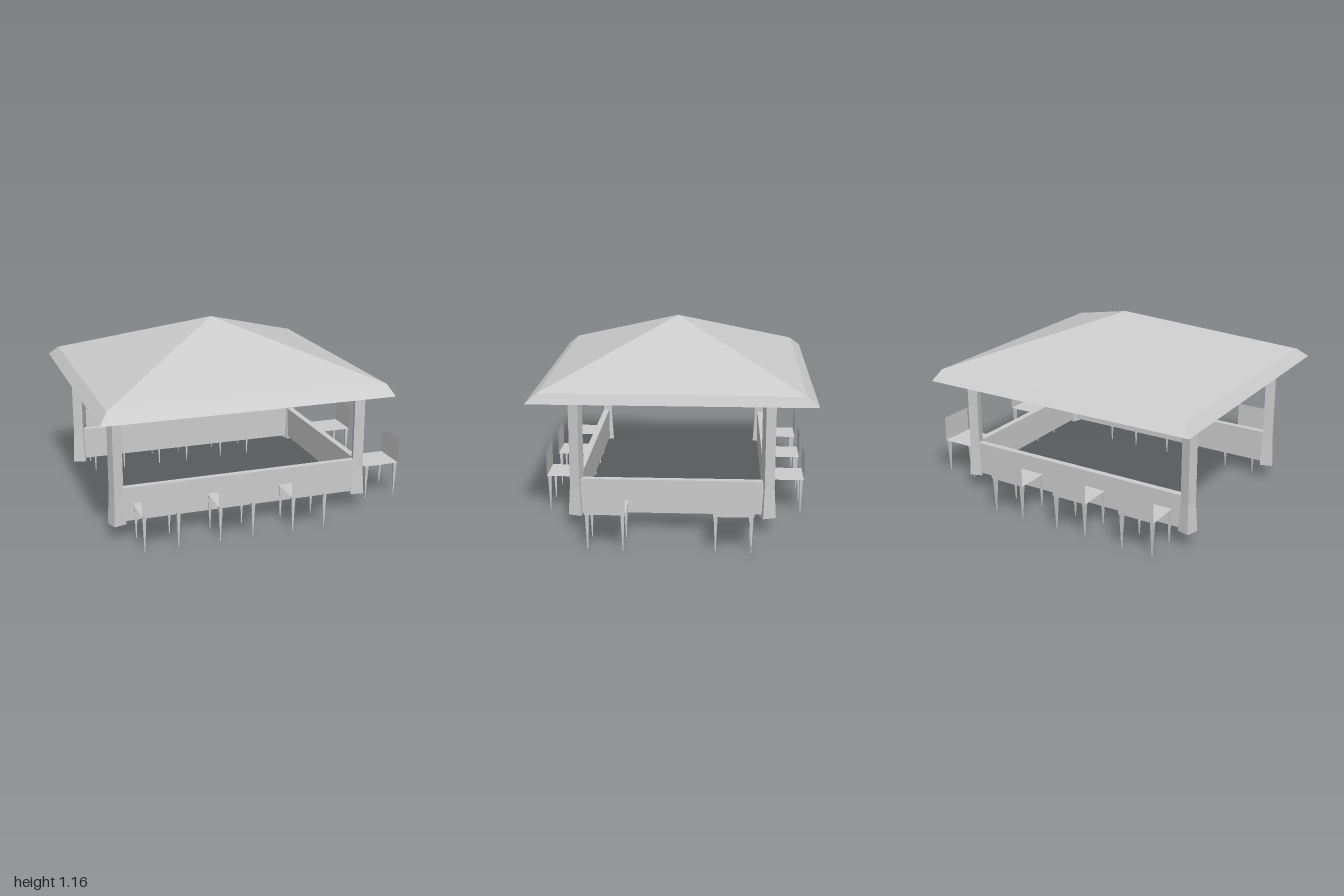
import * as THREE from 'three';

const material = new THREE.MeshStandardMaterial({
  color: 0xcccccc, flatShading: true, side: THREE.DoubleSide,
});

function add(parent, name, geometry, x = 0, y = 0, z = 0) {
  const mesh = new THREE.Mesh(geometry, material);
  mesh.name = name;
  mesh.position.set(x, y, z);
  parent.add(mesh);
  return mesh;
}

// Hollow hip roof: rectangular rings joined bottom to top, closing at the apex
function roofGeometry() {
  const rings = [
    { x0: -1, x1: 0.76, z: 0.84, y: 0.8 },
    { x0: -0.945, x1: 0.735, z: 0.77, y: 0.86 },
    { x0: -0.107, x1: -0.107, z: 0, y: 1.17 },
  ].map(({ x0, x1, z, y }) => [[x0, y, z], [x1, y, z], [x1, y, -z], [x0, y, -z]]);
  const pos = [];
  for (let r = 0; r < 2; r++) {
    for (let i = 0; i < 4; i++) {
      const j = (i + 1) % 4;
      const [a, b, c, d] = [rings[r][i], rings[r][j], rings[r + 1][j], rings[r + 1][i]];
      pos.push(...a, ...b, ...c);
      if (r === 0) pos.push(...a, ...c, ...d);
    }
  }
  const g = new THREE.BufferGeometry();
  g.setAttribute('position', new THREE.Float32BufferAttribute(pos, 3));
  g.computeVertexNormals();
  return g;
}

// Square post, twisted about its axis, with a flared foot
function postGeometry(angle) {
  const profile = [[0, 0.108], [0.056, 0.108], [0.0435, 0.29], [0.0435, 0.82], [0, 0.82]]
    .map(([r, y]) => new THREE.Vector2(r, y));
  return new THREE.LatheGeometry(profile, 4, angle);
}

// Chair with its backrest on the local +z side
function chair(parent, x, z, turn) {
  const g = new THREE.Group();
  g.name = 'chair';
  const w = 0.23, d = 0.235, seatY = 0.23;
  add(g, 'seat', new THREE.PlaneGeometry(w, d).rotateX(-Math.PI / 2), 0, seatY, 0);
  add(g, 'backrest', new THREE.PlaneGeometry(w, 0.16), 0, seatY + 0.08, d / 2);
  for (const sx of [-1, 1]) {
    for (const sz of [-1, 1]) {
      const leg = new THREE.CylinderGeometry(0.016, 0.003, seatY - 0.01, 4).rotateY(Math.PI / 4);
      add(g, 'chairLeg', leg, sx * 0.1, (seatY + 0.01) / 2, sz * 0.1);
    }
  }
  g.position.set(x, 0, z);
  g.rotation.y = turn;
  parent.add(g);
}

export function createModel() {
  const model = new THREE.Group();
  model.name = 'pavilion';
  const cx = -0.1, px = 0.765, pz = 0.5625;

  add(model, 'roof', roofGeometry());

  // Corner posts, mirrored both ways
  for (const sx of [-1, 1]) {
    for (const sz of [-1, 1]) {
      const angle = THREE.MathUtils.degToRad(27) * sx * sz;
      add(model, 'post', postGeometry(angle), cx + sx * px, 0, sz * pz);
    }
  }

  // Low counter panels on three sides
  const panelY = 0.2275, panelH = 0.205, t = 0.04;
  for (const sz of [-1, 1]) {
    add(model, 'longPanel', new THREE.BoxGeometry(px * 2, panelH, t), cx, panelY, sz * pz);
  }
  add(model, 'sidePanel', new THREE.BoxGeometry(t, panelH, pz * 2), cx + px, panelY, 0);

  // Chairs facing the counter
  for (const x of [-0.657, -0.205, 0.247]) {
    chair(model, x, 0.68, 0);
    chair(model, x, -0.68, Math.PI);
  }
  for (const z of [-0.361, 0.361]) chair(model, 0.8825, z, Math.PI / 2);

  return model;
}
